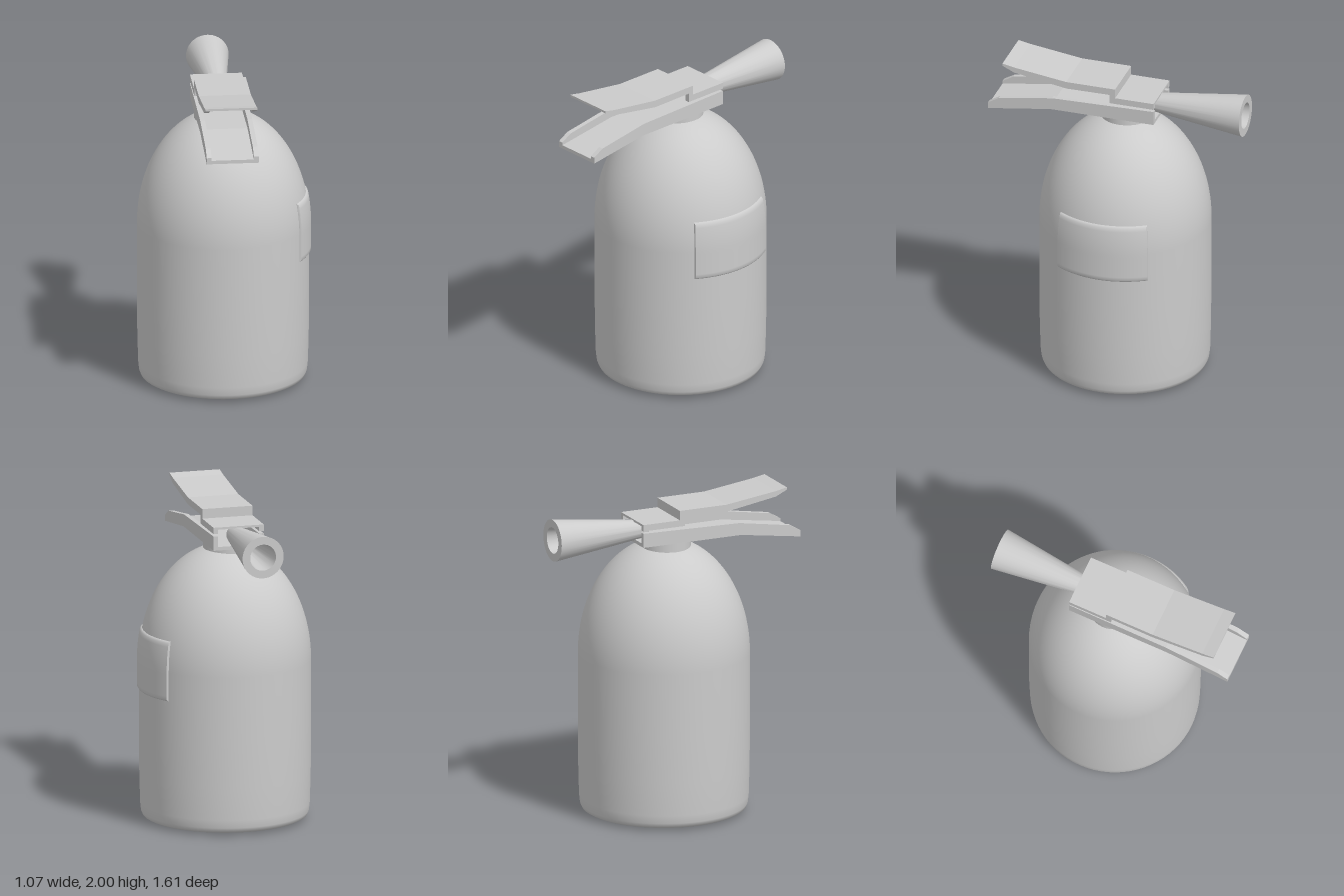
import * as THREE from 'three';
import { toCreasedNormals } from 'three/addons/utils/BufferGeometryUtils.js';

const material = new THREE.MeshStandardMaterial({ color: 0xcccccc });
const bodyX = -0.008, headX = -0.03, axisZ = -0.037;
const radius = 0.527, shoulderY = 1.0, domeHeight = 0.72;

const bodyRadiusAt = (y) =>
  y < shoulderY ? radius : radius * Math.sqrt(Math.max(0, 1 - ((y - shoulderY) / domeHeight) ** 2));

function addMesh(parent, name, geometry) {
  const mesh = new THREE.Mesh(geometry, material);
  mesh.name = name;
  parent.add(mesh);
  return mesh;
}

function lathe(points, segments) {
  return new THREE.LatheGeometry(points.map(([r, y]) => new THREE.Vector2(r, y)), segments);
}

// Side profile given as [z, y], extruded to a width centred on x
function sideExtrude(profile, width, x) {
  const shape = new THREE.Shape(profile.map(([z, y]) => new THREE.Vector2(z, y)));
  const geometry = new THREE.ExtrudeGeometry(shape, { depth: width, bevelEnabled: false });
  geometry.rotateY(-Math.PI / 2);
  geometry.translate(x + width / 2, 0, 0);
  return geometry;
}

// Channel-shaped lever: a thin web between two side walls.
// outer = line on the web side, inner = line at the open side of the channel
function lever(name, outer, inner, webOffset) {
  const group = new THREE.Group();
  group.name = name;
  const wall = [...outer, ...[...inner].reverse()];
  for (const side of [-1, 1]) {
    addMesh(group, name + 'Wall', sideExtrude(wall, 0.03, headX + side * 0.145));
  }
  const offsetLine = outer.map(([z, y], i) => {
    // shift along z too where the line steps vertically
    const step = outer.some(([z2], j) => j !== i && Math.abs(z2 - z) < 0.001);
    return [z + (step ? 0.015 : 0), y + webOffset];
  });
  addMesh(group, name + 'Web', sideExtrude([...outer, ...offsetLine.reverse()], 0.262, headX));
  return group;
}

// Curved plate that hugs the cylinder
function labelGeometry() {
  const halfAngle = 0.577, y0 = 0.82, y1 = 1.195;
  const geometry = new THREE.BoxGeometry(1, 1, 1, 3, 16, 32);
  const p = geometry.attributes.position;
  for (let i = 0; i < p.count; i++) {
    const u = p.getX(i) + 0.5;
    const inset = 0.012 * u ** 4; // softened rim
    const y = THREE.MathUtils.lerp(y0 + inset, y1 - inset, p.getY(i) + 0.5);
    const angle = p.getZ(i) * 2 * (halfAngle - inset);
    const r = bodyRadiusAt(y) - 0.01 + 0.022 * u;
    p.setXYZ(i, r * Math.cos(angle), y, r * Math.sin(angle));
  }
  return toCreasedNormals(geometry, 0.7);
}

export function createModel() {
  const model = new THREE.Group();
  model.name = 'fireExtinguisher';

  // Tank with rounded foot and elliptical dome
  const profile = [
    [0, 0], [0.15, 0.001], [0.44, 0.01], [0.485, 0.015], [0.505, 0.026],
    [0.515, 0.05], [0.52, 0.1], [0.525, 0.3], [radius, 0.6],
  ];
  for (let i = 0; i <= 28; i++) {
    const a = (i / 28) * Math.PI / 2;
    profile.push([i === 28 ? 0 : radius * Math.cos(a), shoulderY + domeHeight * Math.sin(a)]);
  }
  addMesh(model, 'tank', lathe(profile, 72)).position.set(bodyX, 0, axisZ);

  // Label plate on the left side
  addMesh(model, 'labelPlate', labelGeometry()).position.set(bodyX, 0, axisZ);

  // Neck under the levers
  const neck = new THREE.CylinderGeometry(0.155, 0.155, 0.1, 40);
  addMesh(model, 'neck', neck).position.set(headX, 1.69, axisZ);

  // Fixed carrying handle, open upward
  model.add(lever('carryHandle',
    [[-0.262, 1.735], [0.4, 1.735], [0.803, 1.675]],
    [[-0.262, 1.825], [0.39, 1.812], [0.735, 1.755], [0.803, 1.715]],
    0.022));

  // Squeeze lever, open downward, with a step at the pivot
  model.add(lever('squeezeLever',
    [[-0.262, 1.88], [-0.015, 1.88], [-0.015, 1.94], [0.3, 1.94], [0.635, 1.985], [0.71, 2.0]],
    [[-0.262, 1.84], [0.02, 1.84], [0.02, 1.897], [0.3, 1.895], [0.635, 1.95], [0.71, 1.985]],
    -0.014));

  // Flared nozzle with a hollow mouth, pointing backward
  const nozzle = toCreasedNormals(lathe([
    [0, 0], [0.053, 0], [0.131, 0.63], [0.082, 0.63], [0.05, 0.25], [0, 0.25],
  ], 48), 0.6);
  nozzle.rotateX(-Math.PI / 2);
  addMesh(model, 'nozzle', nozzle).position.set(headX, 1.808, -0.172);

  return model;
}
